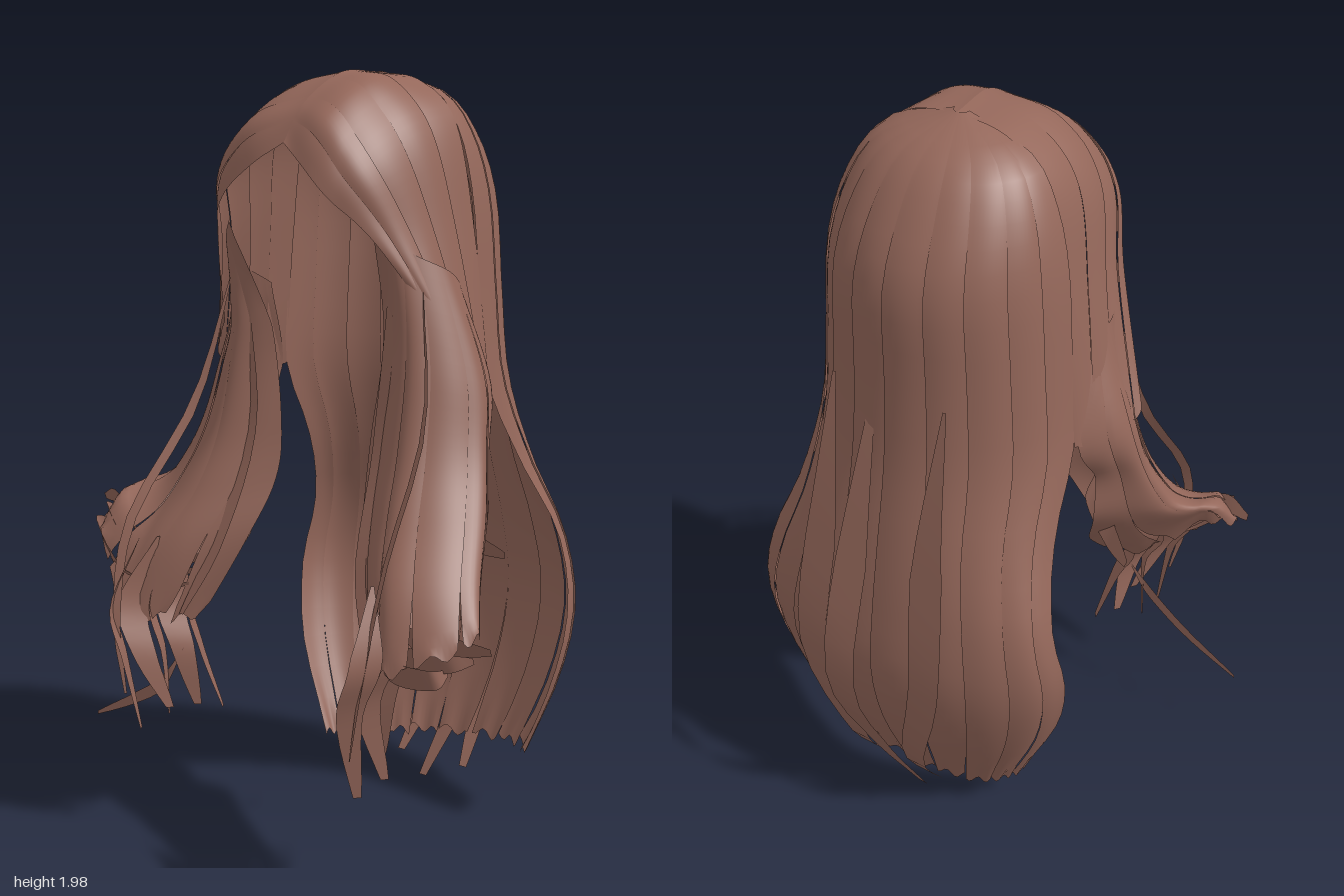
import * as THREE from 'three';

const hair = new THREE.MeshStandardMaterial({ color: 0x94675a, side: THREE.DoubleSide });
hair.name = 'reddish brown hair';

const clamp = (v) => Math.min(1, Math.max(0, v));
const curve = (pts) => new THREE.CatmullRomCurve3(
  pts.map((p) => (p.isVector3 ? p : new THREE.Vector3(...p))), false, 'catmullrom', 0.5);

// Grid mesh: rowAt(t) gives a function of s across the strand
function gridMesh(name, rowAt, nu, nv) {
  const pos = [], idx = [];
  for (let j = 0; j <= nv; j++) {
    const row = rowAt(j / nv);
    for (let i = 0; i <= nu; i++) {
      pos.push(...row(i / nu).toArray());
      if (i < nu && j < nv) {
        const a = j * (nu + 1) + i, b = a + nu + 1;
        idx.push(a, a + 1, b, a + 1, b + 1, b);
      }
    }
  }
  const g = new THREE.BufferGeometry();
  g.setAttribute('position', new THREE.Float32BufferAttribute(pos, 3));
  g.setIndex(idx);
  g.computeVertexNormals();
  const m = new THREE.Mesh(g, hair);
  m.name = name;
  return m;
}

// Splits a lofted sheet of strand curves into slightly overlapping locks with ragged ends
function locks(name, strands, count, { centre, rag, gap, warp }) {
  const group = new THREE.Group();
  group.name = name;
  const curves = strands.map(curve);
  for (let k = 0; k < count; k++) {
    const cut = (Math.sin(k * 12.9 + 2) * 0.5 + 0.5) * rag;
    const lift = (k % 2) * 0.004;
    group.add(gridMesh(name + 'Lock', (t) => {
      const across = curve(curves.map((c) => c.getPoint(t * (1 - cut))));
      const spread = 0.53 - gap * t ** 6;
      return (s) => {
        const p = across.getPoint(clamp((k + 0.5 + (s - 0.5) * 2 * spread) / count));
        const out = new THREE.Vector3(p.x - centre[0], 0, p.z - centre[1]).normalize();
        p.addScaledVector(out, (lift + 0.004 * Math.sin(Math.PI * s)) * Math.min(1, t * 4));
        // Jagged tips
        if (t === 1 && rag) p.y += 0.012 * Math.sin(s * 9 + k * 5);
        return warp(p);
      };
    }, 8, 30));
  }
  return group;
}

// Loose tapering ribbon along a path; dir is its width direction
function ribbon(pts, width, dir = [1, 0, 0]) {
  const c = curve(pts), d = new THREE.Vector3(...dir).normalize();
  return gridMesh('looseStrand', (t) => {
    const p = c.getPoint(t);
    const w = width * Math.min(1, 0.1 + t * 3) * (1 - 0.75 * t ** 3);
    return (s) => p.clone().addScaledVector(d, (s - 0.5) * w);
  }, 1, 14);
}

// Swept crown and fringe: strands run sideways from the parting, front to back
const fringe = [
  [[0, 1.805, .335], [.08, 1.755, .35], [.17, 1.68, .345], [.26, 1.575, .27], [.37, 1.35, .14]],
  [[0, 1.9, .265], [.13, 1.86, .29], [.235, 1.74, .275], [.305, 1.56, .19], [.425, 1.25, .1]],
  [[0, 1.985, .12], [.14, 1.95, .13], [.255, 1.82, .12], [.315, 1.58, .07], [.39, 1.2, .01]],
  [[0, 2, -.06], [.14, 1.97, -.06], [.255, 1.86, -.06], [.31, 1.58, -.07], [.35, 1.22, -.08]],
];

// Back curtain profile: height, half width, z at side edge, z at centre back
const backRows = [
  [2, .02, -.04, -.06], [1.945, .19, -.05, -.2], [1.84, .265, -.06, -.29], [1.68, .305, -.065, -.36],
  [1.45, .325, -.07, -.365], [1.22, .345, -.08, -.38], [1, .37, -.2, -.42], [.8, .44, -.28, -.455],
  [.6, .49, -.25, -.475], [.38, .46, -.2, -.43], [.12, .35, -.17, -.32],
];

// Shoulder lock: strands from its back edge, round the outside, to its inner edge
const shoulder = [
  [[.33, 1.45, 0], [.355, 1.22, -.07], [.37, 1.07, .01], [.37, .93, .025], [.36, .78, .11], [.38, .64, .24]],
  [[.36, 1.5, .1], [.44, 1.25, .08], [.48, 1.07, .12], [.525, .93, .18], [.58, .78, .27], [.65, .64, .36]],
  [[.31, 1.55, .2], [.34, 1.3, .215], [.355, 1.08, .26], [.38, .92, .33], [.43, .76, .42], [.47, .56, .48]],
  [[.24, 1.62, .25], [.22, 1.35, .18], [.185, 1.1, .185], [.185, .95, .21], [.23, .79, .28], [.33, .58, .34]],
];

function buildSide(side, sideName) {
  const group = new THREE.Group();
  group.name = sideName + 'Side';
  const mirrored = (p) => p.setX(p.x * side);

  group.add(locks(sideName + 'Fringe', fringe, 5, {
    centre: [0, -.03], rag: 0, gap: 0,
    // Parting sits a little off centre
    warp: (p) => {
      const shift = 0.035 * clamp(1 - p.x / 0.2) * clamp((p.z + 0.06) * 5);
      return mirrored(p).setX(p.x + shift);
    },
  }));

  // The right lock hangs closer in and flicks up higher
  const hang = (p) => {
    if (side < 0) {
      p.x -= 0.065 * clamp((1.6 - p.y) * 4) * clamp(p.z * 8) * clamp((0.48 - p.x) * 5 + 0.4);
      p.y += 0.14 * clamp((p.x - 0.42) * 7) * clamp((0.95 - p.y) * 5);
    }
    return mirrored(p);
  };
  group.add(locks(sideName + 'ShoulderLock', shoulder, 7, {
    centre: [.32, .08], rag: 0.1, gap: 0.1, warp: hang,
  }));

  const loose = (pts, width, dir) => group.add(
    ribbon(pts.map((p) => hang(new THREE.Vector3(...p))), width, dir));
  // Curled tips gathered below the lock, fanned from back to front
  for (let i = 0; i < 5; i++) {
    const x = .36 + .015 * i, z = .26 + .05 * i;
    loose([[x, .8, z], [x + .03, .63, z + .06], [x - .01, .5, z + .07],
      [x - .05 + .03 * (i % 3), .33 + .06 * Math.sin(i * 3), z + .03]],
    .08, [.6 * side, 0, i % 2 ? .8 : -.8]);
  }
  // Flicks pointing outward
  for (let i = 0; i < 3; i++) {
    const y = (side < 0 ? .74 : .68) - .03 * i, z = .3 + .04 * i;
    loose([[.34, y, z], [.46, y - .02, z + .06], [.57, y - .02, z + .05],
      [.66 - .05 * i, y - .02, z + .03 * Math.cos(i * 2)]], .07, [0, 1, .4]);
  }
  // Ribbon curling backward, thin outer wisp and inner strand
  loose([[.38, 1.1, .03], [.36, .95, .11], [.41, .85, .08], [.47, .8, .01]], .08, [.3 * side, 1, .3]);
  loose([[.33, 1.5, .17], [.41, 1.15, .26], [.45, .85, .45], [.44, .6, .52], [.41, .4, .53]], .03, [side, 0, .6]);
  loose([[.26, 1.5, .2], [.26, 1.1, .23], [.28, .8, .33], [.35, .6, .4]], .06);
  return group;
}

export function createModel() {
  const model = new THREE.Group();
  model.name = 'longHair';
  model.add(buildSide(1, 'left'), buildSide(-1, 'right'));

  // Back curtain: half-ellipse sections from one side edge round to the other
  const backStrands = Array.from({ length: 9 }, (_, i) => {
    const a = Math.PI * (0.5 - i / 8);
    return backRows.map(([y, w, edge, rear]) => [w * Math.sin(a), y, edge + (rear - edge) * Math.cos(a)]);
  });
  model.add(locks('back', backStrands, 10, {
    centre: [0, -.05], rag: 0.04, gap: 0.05,
    // Right half is slimmer toward the ends
    warp: (p) => p.setX(p.x < 0 ? p.x * (1 - 0.22 * clamp(1 - p.y)) : p.x),
  }));

  // Loose strands behind the curtain; the middle one is longest
  [-.15, .05, .17].forEach((x, i) => {
    const far = i === 1 ? .06 : 0;
    model.add(ribbon([[x, 1.4, -.345], [x, 1, -.43 - far / 2], [x * 1.1, .6, -.485 - far],
      [x * .6, .28, -.43], [x * .7 - far, .08 - far, -.3]], .1));
  });

  // Long wisp straying out from the right shoulder lock
  model.add(ribbon([[-.3, .5, .38], [-.36, .4, .4], [-.5, .32, .38], [-.67, .24, .37]], .04, [0, 1, 0]));
  return model;
}
